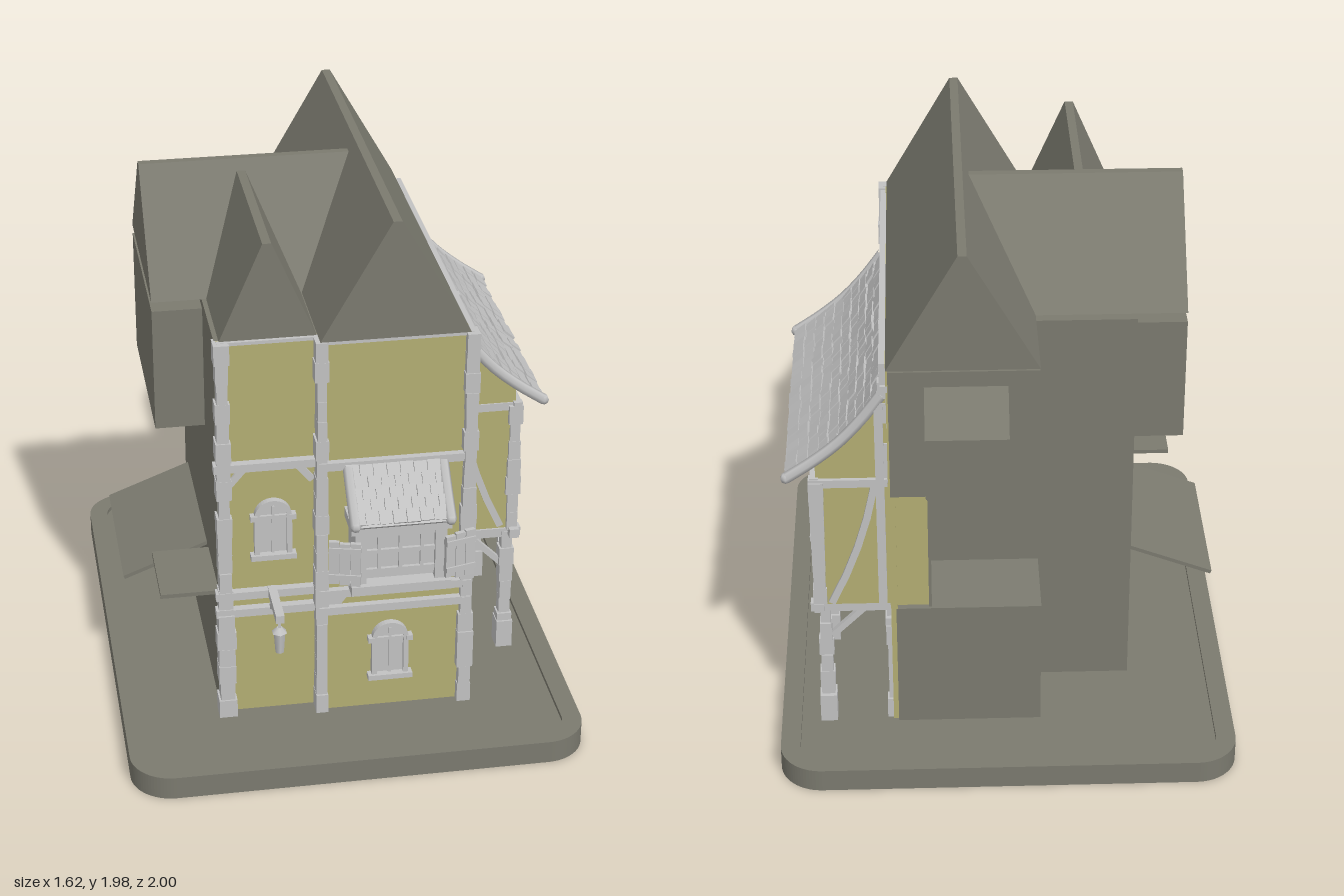
import * as THREE from 'three';

const mat = (name, color) => Object.assign(new THREE.MeshStandardMaterial({ color }), { name });

export function createModel() {
  const root = new THREE.Group();
  root.name = 'timberHouse';
  const dark = mat('darkStone', 0x7b7a6f);
  const plaster = mat('yellowPlaster', 0xb3ae73);
  const grey = mat('greyTimber', 0xc2c2c2);

  let seed = 7;
  const rnd = () => (seed = (seed * 16807) % 2147483647) / 2147483647;
  const jit = (a) => (rnd() - 0.5) * 2 * a;

  const add = (name, geo, m, parent = root) => {
    const mesh = new THREE.Mesh(geo, m);
    mesh.name = name;
    parent.add(mesh);
    return mesh;
  };
  // box given by its limits on each axis
  const box = (name, m, x0, x1, y0, y1, z0, z1, parent = root) => {
    const b = add(name, new THREE.BoxGeometry(x1 - x0, y1 - y0, z1 - z0), m, parent);
    b.position.set((x0 + x1) / 2, (y0 + y1) / 2, (z0 + z1) / 2);
    return b;
  };
  // straight timber between two points
  const beam = (name, a, b, w = 0.03, d = w, parent = root) => {
    const p = new THREE.Vector3(...a), q = new THREE.Vector3(...b), v = q.clone().sub(p);
    const mesh = add(name, new THREE.BoxGeometry(w, v.length(), d), grey, parent);
    mesh.position.copy(p).add(q).multiplyScalar(0.5);
    mesh.quaternion.setFromUnitVectors(new THREE.Vector3(0, 1, 0), v.normalize());
    return mesh;
  };
  // upright of stacked, slightly uneven blocks
  const post = (name, x, z, y0, y1, w = 0.045, d = w) => {
    const g = new THREE.Group();
    g.name = name;
    root.add(g);
    const n = Math.max(2, Math.round((y1 - y0) / 0.075)), h = (y1 - y0) / n;
    for (let i = 0; i < n; i++) {
      const a = w / 2 + jit(0.005), c = d / 2 + jit(0.005);
      box('block', grey, x - a, x + a, y0 + i * h, y0 + (i + 1) * h, z - c, z + c, g);
    }
  };
  const shape = (pts) => new THREE.Shape(pts.map((p) => new THREE.Vector2(...p)));
  const extrude = (s, depth) => new THREE.ExtrudeGeometry(s, { depth, bevelEnabled: false, curveSegments: 10 });

  // plinth: rounded slab with a raised rim
  const rounded = (x, z, r, S = THREE.Shape) => {
    const s = new S();
    s.moveTo(-x + r, -z).lineTo(x - r, -z).absarc(x - r, -z + r, r, -Math.PI / 2, 0)
      .lineTo(x, z - r).absarc(x - r, z - r, r, 0, Math.PI / 2)
      .lineTo(-x + r, z).absarc(-x + r, z - r, r, Math.PI / 2, Math.PI)
      .lineTo(-x, -z + r).absarc(-x + r, -z + r, r, Math.PI, Math.PI * 1.5);
    return s;
  };
  const rim = rounded(0.81, 1, 0.15);
  rim.holes.push(rounded(0.74, 0.93, 0.08, THREE.Path));
  add('plinthRim', extrude(rim, 0.085).rotateX(-Math.PI / 2), dark);
  add('plinthFloor', extrude(rounded(0.76, 0.95, 0.1), 0.07).rotateX(-Math.PI / 2), dark);

  // plain masses at the back and left
  box('body', dark, -0.455, 0.395, 0.07, 1.555, -0.43, 0.6);
  box('upperHall', dark, -0.105, 0.4, 1.07, 1.555, -0.77, 0.62);
  box('sideWing', dark, -0.63, -0.1, 1.07, 1.525, -0.4, 0.28);
  box('rearStore', dark, -0.12, 0.39, 0.07, 0.5, -0.7, -0.42);
  add('rearStoreRoof', extrude(shape([[0.42, 0.5], [0.7, 0.5], [0.7, 0.56], [0.42, 0.58]]), 0.51)
    .rotateY(Math.PI / 2), dark).position.set(-0.12, 0, 0);
  add('rearOriel', extrude(shape([[0.76, 1.13], [0.885, 1.13], [0.885, 1.36], [0.76, 1.51]]), 0.28)
    .rotateY(Math.PI / 2), dark);
  beam('sideAwning', [-0.76, 0.45, -0.05], [-0.45, 0.57, -0.05], 0.014, 0.6).material = dark;
  box('frontAwning', dark, -0.66, -0.45, 0.565, 0.58, 0.3, 0.6);

  // roofs: prisms with a narrow flat ridge
  const roof = (name, half, top, length) => add(name,
    extrude(shape([[-half, 1.56], [half, 1.56], [0.015, top], [-0.015, top]]), length), dark);
  roof('mainRoof', 0.257, 1.98, 1.45).position.set(0.15, 0, -0.77);
  roof('frontGableRoof', 0.165, 1.905, 0.64).position.set(-0.275, 0, -0.02);
  const wingRoof = roof('wingRoof', 0.34, 1.94, 0.75);
  wingRoof.rotation.y = Math.PI / 2;
  wingRoof.position.set(-0.63, 0, -0.06);

  // plastered walls
  box('leftFrontWall', plaster, -0.45, -0.1, 0.08, 1.555, 0.6, 0.615);
  box('mainFrontWall', plaster, -0.1, 0.41, 0.08, 1.555, 0.6, 0.66);
  box('rightWall', plaster, 0.385, 0.408, 0.08, 1.55, -0.7, 0.655);
  add('bayWall', extrude(shape([[0.4, 0.58], [0.655, 0.58], [0.655, 1.15], [0.57, 1.22],
    [0.49, 1.31], [0.41, 1.41]]), 1.03), plaster).position.z = -0.69;
  box('bayBackWall', plaster, 0.275, 0.41, 0.57, 1.075, -0.69, -0.42);
  box('bayInnerWall', dark, 0.265, 0.275, 0.56, 1.075, -0.69, -0.42);

  // front timbers
  post('cornerPostLeft', -0.435, 0.615, 0.08, 1.555, 0.045, 0.06);
  post('cornerPostLeftLow', -0.435, 0.62, 0.08, 0.5, 0.06, 0.07);
  post('middlePost', -0.1, 0.65, 0.08, 1.555, 0.04, 0.06);
  post('cornerPostRight', 0.415, 0.66, 0.08, 1.555, 0.05, 0.06);
  for (const y of [0.505, 0.575, 1.085]) {
    beam('leftFrontBeam', [-0.47, y, 0.625], [-0.1, y, 0.625], 0.03, 0.04);
    beam('mainFrontBeam', [-0.11, y, 0.665], [0.43, y, 0.665], 0.03, 0.04);
  }
  for (const s of [-1, 1])
    beam('cornerBrace', [-0.27 + s * 0.145, 1.01, 0.615], [-0.27 + s * 0.09, 1.075, 0.615], 0.025, 0.02);
  beam('eavesBeamFront', [-0.45, 1.55, 0.615], [-0.1, 1.55, 0.615], 0.012, 0.02);
  beam('eavesBeamFront', [-0.1, 1.55, 0.66], [0.42, 1.55, 0.66], 0.012, 0.02);

  // right side timbers of the main wall
  const railZ = (name, x, y, z0, z1, w = 0.03) => beam(name, [x, y, z0], [x, y, z1], w);
  railZ('eavesBeam', 0.415, 1.535, 0.69, -0.7);
  railZ('upperRail', 0.415, 1.45, 0.35, -0.7, 0.025);
  railZ('floorBeam', 0.415, 1.085, 0.69, 0.33);
  railZ('floorBeam', 0.415, 0.575, 0.69, 0.33);
  railZ('lowerRail', 0.415, 0.505, 0.69, -0.7);
  post('upperPost', 0.415, 0.35, 1.08, 1.55, 0.035, 0.04);
  post('upperPost', 0.415, -0.67, 1.08, 1.55, 0.035, 0.04);
  post('upperPost', 0.415, -0.29, 1.44, 1.53, 0.03, 0.03);
  beam('upperBrace', [0.412, 1.1, 0.655], [0.412, 1.52, 0.375], 0.025);
  for (const z of [0.33, 0.1, -0.175, -0.38, -0.67]) post('lowerWallPost', 0.412, z, 0.08, 0.56, 0.03, 0.035);

  // bay on posts
  for (const z of [0.33, 0.03, -0.27, -0.68]) post('bayPost', 0.655, z, 0.58, 1.09, 0.045, 0.05);
  railZ('baySill', 0.66, 0.575, 0.38, -0.71, 0.035);
  railZ('bayHead', 0.66, 1.09, 0.36, -0.7, 0.03);
  for (const z of [0.33, -0.175, -0.67]) {
    post('standingPost', 0.64, z, 0.08, 0.57, 0.045, 0.045);
    box('postFoot', grey, 0.61, 0.67, 0.08, 0.19, z - 0.035, z + 0.035);
    beam('crossBeam', [0.4, 0.565, z], [0.69, 0.565, z], 0.035);
    beam('crossBrace', [0.635, 0.42, z], [0.5, 0.555, z], 0.022);
    for (const s of [-1, 1]) {
      const e = z + s * 0.14;
      if (e < 0.4 && e > -0.75) beam('bayBrace', [0.64, 0.4, z], [0.64, 0.56, e], 0.025);
    }
  }
  for (const z of [0.335, -0.695]) {
    beam('bayEndHead', [0.41, 1.085, z], [0.68, 1.085, z], 0.03, 0.02);
    beam('bayEndPost', [0.435, 0.58, z], [0.435, 1.4, z], 0.03, 0.02);
    const c = new THREE.QuadraticBezierCurve3(new THREE.Vector3(0.455, 1.07, z),
      new THREE.Vector3(0.5, 0.82, z), new THREE.Vector3(0.61, 0.6, z));
    for (let i = 0; i < 4; i++)
      beam('bayEndBrace', c.getPoint(i / 4).toArray(), c.getPoint((i + 1) / 4 + 0.02).toArray(), 0.025, 0.015);
  }

  // tiled roof strip laid along a sloping curve of [outward, height] points
  const tiledRoof = (name, pts, width, rows, cols) => {
    const g = new THREE.Group();
    g.name = name;
    root.add(g);
    const curve = new THREE.CatmullRomCurve3(pts.map((p) => new THREE.Vector3(0, p[1], p[0])));
    const len = curve.getLength() / rows, cw = width / cols;
    for (let r = 0; r < rows; r++) {
      const p = curve.getPointAt((r + 0.5) / rows), t = curve.getTangentAt((r + 0.5) / rows);
      const slope = Math.atan2(-t.y, t.z);
      const deck = add('roofDeck', new THREE.BoxGeometry(width, 0.012, len * 1.1), grey, g);
      deck.position.copy(p);
      deck.rotation.x = slope;
      for (let c = 0; c < cols; c++) {
        const tile = add('tile', new THREE.BoxGeometry(cw * 0.95, 0.013, len * 1.12), grey, g);
        const off = r % 2 ? 0.25 : -0.25;
        tile.position.set(-width / 2 + (c + 0.5 + off) * cw, p.y + 0.012 + jit(0.002), p.z + jit(0.004));
        tile.rotation.x = slope + 0.1 + jit(0.03);
      }
    }
    for (const s of [-1, 1]) {
      const edge = add('edgeRafter', new THREE.TubeGeometry(curve, 10, 0.02, 6), grey, g);
      edge.position.set(s * width / 2, 0.006, 0);
      const cap = add('rafterEnd', new THREE.SphereGeometry(0.02, 6, 4), grey, g);
      cap.position.copy(curve.getPoint(1)).add(edge.position);
    }
    return g;
  };
  const lean = tiledRoof('leanToRoof', [[0.425, 1.42], [0.49, 1.33], [0.57, 1.24], [0.66, 1.165], [0.755, 1.1]], 1.04, 10, 20);
  lean.rotation.y = Math.PI / 2;
  lean.position.z = -0.172;
  tiledRoof('windowCanopy', [[0.68, 1.07], [0.75, 1.0], [0.835, 0.925]], 0.33, 5, 7).position.x = 0.155;

  // arched windows
  const arch = (w, h, S = THREE.Shape) => {
    const s = new S();
    s.moveTo(-w, 0).lineTo(w, 0).lineTo(w, h).absarc(0, h, w, 0, Math.PI).lineTo(-w, 0);
    return s;
  };
  const archWindow = (x, y, z, turn) => {
    const g = new THREE.Group();
    g.name = 'archedWindow';
    const frame = arch(0.066, 0.15);
    frame.holes.push(arch(0.048, 0.15, THREE.Path));
    add('frame', extrude(frame, 0.025), grey, g);
    add('pane', extrude(arch(0.05, 0.15), 0.008), grey, g);
    box('sill', grey, -0.08, 0.08, -0.015, 0.005, 0, 0.035, g);
    box('transom', grey, -0.05, 0.05, 0.142, 0.154, 0, 0.018, g);
    box('mullion', grey, -0.005, 0.005, 0, 0.19, 0, 0.016, g);
    for (const s of [-1, 1]) box('impost', grey, s * 0.068 - 0.012, s * 0.068 + 0.012, 0.14, 0.16, 0, 0.03, g);
    g.position.set(x, y, z);
    g.rotation.y = turn;
    root.add(g);
  };
  archWindow(-0.265, 0.73, 0.615, 0);
  archWindow(0.145, 0.22, 0.66, 0);
  archWindow(0.655, 0.77, -0.475, Math.PI / 2);

  // projecting front window with shutters
  box('windowBox', grey, 0.01, 0.3, 0.69, 0.9, 0.65, 0.78);
  box('windowSill', grey, -0.02, 0.33, 0.645, 0.68, 0.65, 0.82);
  box('windowLintel', grey, -0.02, 0.33, 0.88, 0.915, 0.65, 0.81);
  for (const x of [0.015, 0.295]) box('windowJamb', grey, x - 0.02, x + 0.02, 0.68, 0.88, 0.65, 0.8);
  for (const x of [0.08, 0.155, 0.23]) box('windowBar', grey, x - 0.006, x + 0.006, 0.72, 0.87, 0.77, 0.792);
  for (const y of [0.725, 0.8, 0.865]) box('windowRail', grey, 0.03, 0.28, y - 0.007, y + 0.007, 0.77, 0.792);
  for (const s of [-1, 1]) {
    const g = new THREE.Group();
    g.name = 'shutter';
    for (let i = 0; i < 3; i++) box('board', grey, -0.055 + i * 0.037, -0.02 + i * 0.037, 0.7 + jit(0.006), 0.87 + jit(0.006), -0.008, 0.008, g);
    for (const y of [0.735, 0.84]) box('batten', grey, -0.055, 0.055, y - 0.01, y + 0.01, -0.012, 0.014, g);
    g.position.set(0.155 + s * 0.2, 0, 0.825);
    g.rotation.y = s * 0.25;
    root.add(g);
  }

  // bracket and hanging lantern
  beam('lanternBracket', [-0.27, 0.58, 0.62], [-0.27, 0.58, 0.825], 0.03);
  beam('lanternStrut', [-0.27, 0.515, 0.63], [-0.27, 0.57, 0.72], 0.02);
  beam('lanternHook', [-0.27, 0.58, 0.8], [-0.27, 0.52, 0.8], 0.01);
  add('lantern', new THREE.CylinderGeometry(0.022, 0.016, 0.08, 6), grey).position.set(-0.27, 0.475, 0.8);
  add('lanternCap', new THREE.CylinderGeometry(0.01, 0.028, 0.02, 6), grey).position.set(-0.27, 0.525, 0.8);

  // exposed bricks and worn patches on the right walls
  for (const [z, y, w, h] of [[0.44, 1.16, 0.08, 0.045], [0.54, 0.945, 0.08, 0.03], [0.46, 0.675, 0.045, 0.03],
    [-0.32, 0.455, 0.08, 0.03], [-0.335, 0.418, 0.05, 0.025]])
    box('brick', grey, 0.4, 0.42, y - h / 2, y + h / 2, z - w / 2, z + w / 2);
  const patch = (x, pts) => {
    const p = add('wornPatch', extrude(shape(pts.map(([z, y]) => [-z, y])), 0.004), grey);
    p.rotation.y = Math.PI / 2;
    p.position.x = x;
  };
  patch(0.406, [[0.53, 0.09], [0.35, 0.09], [0.35, 0.25], [0.42, 0.21], [0.44, 0.16], [0.5, 0.14]]);
  patch(0.653, [[0.31, 0.59], [0.2, 0.59], [0.23, 0.66], [0.26, 0.69], [0.28, 0.76], [0.31, 0.77]]);
  const frontPatch = add('wornPatch', extrude(shape([[-0.08, 0.52], [-0.03, 0.52], [0.0, 0.56], [-0.08, 0.56]]), 0.004), grey);
  frontPatch.position.z = 0.658;

  return root;
}
